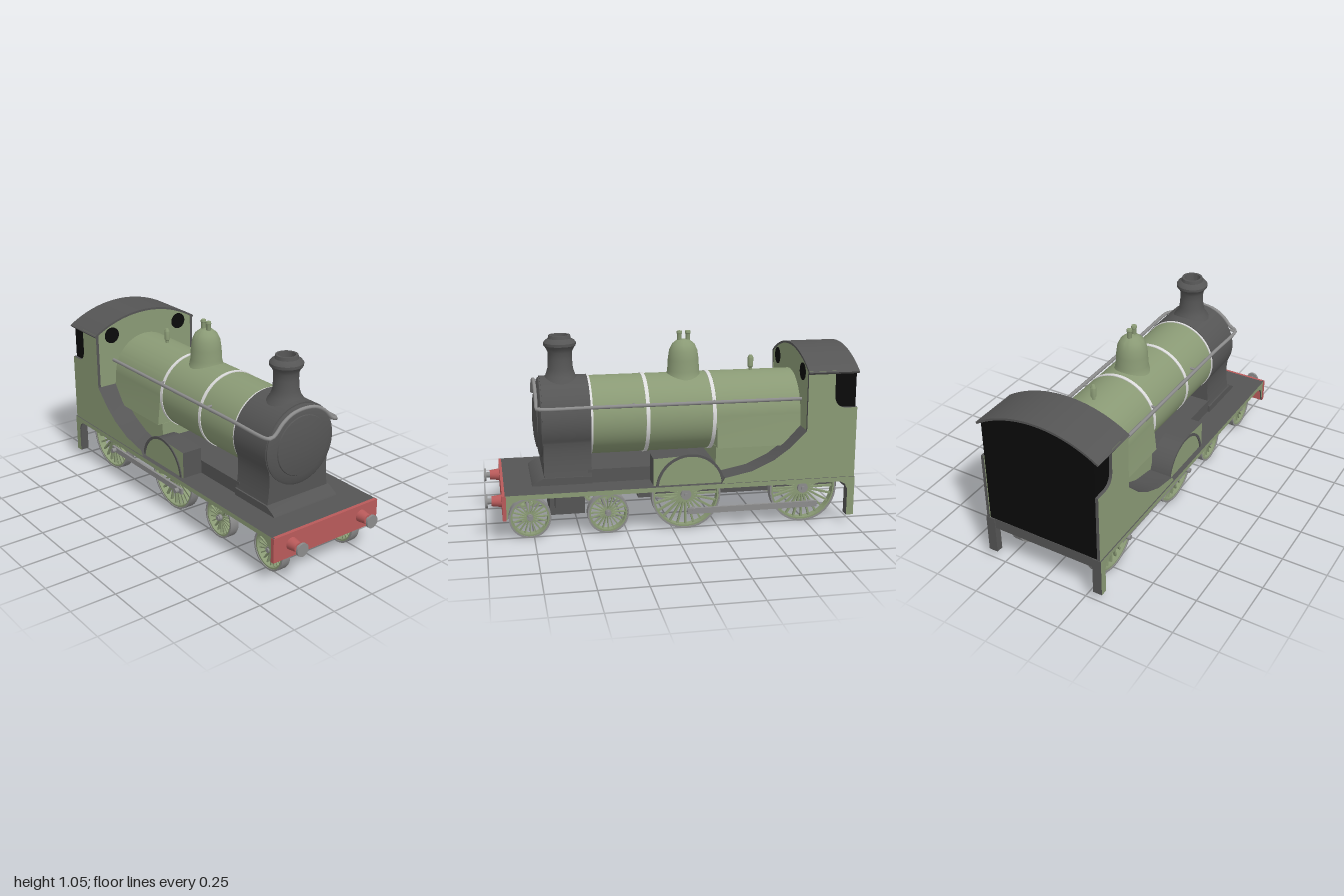
import * as THREE from 'three';
import { mergeGeometries, toCreasedNormals } from 'three/addons/utils/BufferGeometryUtils.js';

const mat = (name, color) => new THREE.MeshStandardMaterial({ name, color });

export function createModel() {
  const green = mat('paleGreen', 0x8a9a75), dark = mat('darkGrey', 0x555555), steel = mat('steelGrey', 0x8c8c8c);
  const red = mat('beamRed', 0xb85a5a), white = mat('bandWhite', 0xdcdcdc), black = mat('black', 0x0a0a0a);
  const model = new THREE.Group();
  model.name = 'steamLocomotive';

  const add = (name, geo, material, parent = model) => {
    const mesh = new THREE.Mesh(geo, material);
    mesh.name = name;
    parent.add(mesh);
  };
  // box given by its limits on each axis
  const box = (name, m, x0, x1, y0, y1, z0, z1) => add(name,
    new THREE.BoxGeometry(x1 - x0, y1 - y0, z1 - z0).translate((x0 + x1) / 2, (y0 + y1) / 2, (z0 + z1) / 2), m);
  // cylinder along z or x
  const rodZ = (r, z0, z1, x, y, seg = 24) =>
    new THREE.CylinderGeometry(r, r, z1 - z0, seg).rotateX(Math.PI / 2).translate(x, y, (z0 + z1) / 2);
  const rodX = (r, x0, x1, y, z, seg = 16) =>
    new THREE.CylinderGeometry(r, r, x1 - x0, seg).rotateZ(Math.PI / 2).translate((x0 + x1) / 2, y, z);
  const lathe = (pts, seg = 40) =>
    toCreasedNormals(new THREE.LatheGeometry(pts.map(p => new THREE.Vector2(...p)), seg), 0.6);
  const extrude = (shape, depth) => toCreasedNormals(
    new THREE.ExtrudeGeometry(shape, { depth, bevelEnabled: false, curveSegments: 32 }), 0.5);
  const poly = pts => new THREE.Shape(pts.map(p => new THREE.Vector2(...p)));
  // shape in (x, y) extruded along z; shape in (z, y) extruded along x
  const alongZ = (shape, z0, z1) => extrude(shape, z1 - z0).translate(0, 0, z0);
  const alongX = (shape, x0, x1) => extrude(shape, x1 - x0).rotateY(-Math.PI / 2).translate(x1, 0, 0);
  // same shape on both sides of the engine
  const sidePair = (name, shape, x0, x1, m) => {
    add(name + 'Left', alongX(shape, x0, x1), m);
    add(name + 'Right', alongX(shape, -x1, -x0), m);
  };
  const CY = 0.6;

  // Footplate, frames and valances
  box('footplate', dark, -0.34, 0.34, 0.245, 0.27, -0.995, 0.9);
  box('mainFrame', dark, -0.2, 0.2, 0.17, 0.25, -0.95, 0.18);
  box('upperFrame', dark, -0.2, 0.2, 0.265, 0.345, -0.72, 0.45);
  box('rearBeam', dark, -0.34, 0.34, 0.21, 0.27, -0.995, -0.95);
  const valance = poly([[-1, 0.27], [-1, 0.05], [-0.96, 0.05], [-0.96, 0.2], [-0.945, 0.23], [-0.92, 0.245],
    [0.82, 0.245], [0.86, 0.23], [0.88, 0.2], [0.89, 0.14], [0.91, 0.14], [0.91, 0.27]]);
  sidePair('valance', valance, 0.338, 0.348, [green, dark]);
  for (const s of [-1, 1]) box('rearStep', dark, s * 0.318 - 0.022, s * 0.318 + 0.022, 0.05, 0.27, -1, -0.96);

  // Front beam and its sprung bumpers
  box('frontBeam', red, -0.35, 0.35, 0.135, 0.27, 0.895, 0.915);
  for (const s of [-1, 1]) {
    const x = s * 0.235;
    add('bumperHousing', new THREE.CylinderGeometry(0.026, 0.034, 0.055, 24).rotateX(Math.PI / 2).translate(x, 0.21, 0.94), red);
    add('bumperRod', rodZ(0.015, 0.96, 0.99, x, 0.21), steel);
    add('bumperHead', rodZ(0.036, 0.988, 1, x, 0.21), steel);
  }

  // Smokebox with flared saddle, door and base
  const smokebox = new THREE.Shape();
  smokebox.moveTo(-0.21, 0.27);
  smokebox.lineTo(0.21, 0.27);
  smokebox.quadraticCurveTo(0.18, 0.42, 0.198, 0.5);
  smokebox.absarc(0, CY, 0.222, -0.467, Math.PI + 0.467, false);
  smokebox.quadraticCurveTo(-0.18, 0.42, -0.21, 0.27);
  add('smokebox', alongZ(smokebox, 0.43, 0.685), dark);
  add('smokeboxDoor', lathe([[0.218, 0], [0.218, 0.012], [0.205, 0.02], [0.165, 0.027], [0.162, 0.032], [0.11, 0.042],
    [0.05, 0.047], [0, 0.048]], 48).rotateX(Math.PI / 2).translate(0, CY - 0.003, 0.68), dark);
  add('saddleBase', alongX(poly([[0.43, 0.265], [0.755, 0.265], [0.745, 0.28], [0.69, 0.31], [0.43, 0.31]]), -0.212, 0.212), dark);
  add('chimney', lathe([[0.115, 0.775], [0.1, 0.805], [0.08, 0.83], [0.069, 0.865], [0.065, 0.92], [0.066, 0.955], [0.075, 0.975],
    [0.087, 0.99], [0.088, 1.005], [0.078, 1.018], [0.062, 1.027], [0.058, 1.045], [0.046, 1.045], [0.042, 1], [0, 1]])
    .translate(0, 0, 0.57), dark);

  // Boiler, bands and firebox
  add('boiler', rodZ(0.215, -0.72, 0.44, 0, CY, 56), green);
  for (const z of [0.428, 0.123, -0.24]) add('boilerBand', rodZ(0.219, z - 0.01, z + 0.01, 0, CY, 56), white);
  const firebox = new THREE.Shape();
  firebox.moveTo(-0.234, 0.435);
  firebox.lineTo(0.234, 0.435);
  firebox.lineTo(0.216, CY);
  firebox.absarc(0, CY, 0.216, 0, Math.PI, false);
  firebox.lineTo(-0.234, 0.435);
  add('firebox', alongZ(firebox, -0.72, -0.252), green);
  box('fireboxBase', green, -0.205, 0.205, 0.27, 0.436, -0.72, -0.25);

  // Steam dome with safety valves, and whistle
  add('steamDome', lathe([[0.105, 0.78], [0.095, 0.8], [0.088, 0.83], [0.085, 0.89], [0.078, 0.94], [0.062, 0.975],
    [0.035, 0.997], [0, 1.003]]).translate(0, 0, -0.107), green);
  for (const z of [-0.132, -0.085]) {
    add('safetyValve', lathe([[0.013, 0.97], [0.013, 1.03], [0.016, 1.035], [0.014, 1.047], [0, 1.05]], 16).translate(0, 0, z), green);
  }
  add('whistle', lathe([[0.01, 0.8], [0.01, 0.83], [0.016, 0.835], [0.016, 0.885], [0.008, 0.9], [0, 0.9]], 16).translate(0, 0, -0.49), green);

  // Handrail running along both sides and over the smokebox door
  const half = [[0.228, 0.692, -0.72], [0.228, 0.692, -0.2], [0.228, 0.692, 0.4], [0.228, 0.692, 0.7], [0.215, 0.693, 0.716],
    [0.185, 0.708, 0.716], [0.14, 0.755, 0.716], [0.08, 0.79, 0.716]];
  const rail = [...half, [0, 0.802, 0.716], ...half.map(([x, y, z]) => [-x, y, z]).reverse()];
  const railPath = new THREE.CatmullRomCurve3(rail.map(p => new THREE.Vector3(...p)), false, 'centripetal');
  add('handrail', new THREE.TubeGeometry(railPath, 160, 0.01, 8), steel);
  for (const s of [-1, 1]) for (const z of [0.7, 0.2, -0.24]) {
    add('railStanchion', rodX(0.007, s * 0.21 - 0.018, s * 0.21 + 0.018, 0.692, z, 8), steel);
  }

  // Front splashers with curved trim
  const splasher = new THREE.Shape();
  splasher.moveTo(-0.27, 0.265);
  splasher.lineTo(0.115, 0.265);
  splasher.lineTo(0.115, 0.42);
  splasher.lineTo(-0.08, 0.43);
  splasher.absarc(-0.085, 0.245, 0.185, Math.PI / 2, Math.PI * 0.965, false);
  sidePair('frontSplasher', splasher, 0.2, 0.32, [green, dark]);
  const trim = new THREE.Shape();
  trim.absarc(-0.085, 0.25, 0.188, 0.1, Math.PI - 0.1, false);
  trim.absarc(-0.085, 0.25, 0.174, Math.PI - 0.1, 0.1, true);
  sidePair('splasherTrim', trim, 0.315, 0.326, dark);

  // Rear splashers sweeping up into the cab sides
  const sweep = [[-0.25, 0.265], [-0.27, 0.3], [-0.42, 0.33], [-0.54, 0.385], [-0.63, 0.45], [-0.72, 0.54]];
  sidePair('rearSplasher', poly([...sweep, [-0.73, 0.265]]), 0.2, 0.325, [green, dark]);
  const side = poly([...sweep, [-0.72, 0.865], [-0.87, 0.865]]);
  side.lineTo(-0.87, 0.73);
  side.quadraticCurveTo(-0.875, 0.66, -0.94, 0.66);
  side.lineTo(-0.998, 0.66);
  side.lineTo(-0.998, 0.265);
  sidePair('cabSide', side, 0.325, 0.342, [green, dark]);

  // Cab front, dark interior, windows and arched roof
  const R = 0.63, roofY = 0.955 - R;
  const arch = (w, r, y0) => {
    const a = Math.acos(w / r), s = new THREE.Shape();
    s.moveTo(-w, y0);
    s.lineTo(w, y0);
    s.absarc(0, roofY, r, a, Math.PI - a, false);
    return s;
  };
  add('cabFront', alongZ(arch(0.34, R, 0.27), -0.74, -0.721), green);
  add('cabInterior', alongZ(arch(0.324, R - 0.003, 0.27), -0.993, -0.74), black);
  for (const s of [-1, 1]) add('cabWindow', rodZ(0.047, -0.722, -0.717, s * 0.235, 0.845, 32), black);
  const roof = new THREE.Shape(), a = Math.acos(0.347 / R);
  roof.absarc(0, roofY, R + 0.008, a, Math.PI - a, false);
  roof.absarc(0, roofY, R - 0.004, Math.PI - a, a, true);
  add('cabRoof', alongZ(roof, -1, -0.72), dark);

  // Spoked wheels
  const ring = (ro, ri, w) => lathe([[ro, -w], [ro, w], [ri, w], [ri, -w], [ro, -w]], 48).rotateZ(Math.PI / 2);
  const wheel = (name, x, z, r, count) => {
    const g = new THREE.Group();
    g.name = name;
    g.position.set(x, r, z);
    model.add(g);
    add('tyre', ring(r, r - 0.009, 0.026), steel, g);
    add('rim', ring(r - 0.008, r - 0.018, 0.022), green, g);
    const spokes = [];
    for (let i = 0; i < count; i++) {
      spokes.push(new THREE.BoxGeometry(0.016, r - 0.025, r * 0.055)
        .translate(0, (r - 0.01) / 2, 0).rotateX(i / count * Math.PI * 2));
    }
    add('spokes', mergeGeometries(spokes), green, g);
    add('hub', rodX(r * 0.15, -0.024, 0.024, 0, 0, 20), steel, g);
  };
  const axles = [['bogieWheel', 0.77, 0.112, 20], ['bogieWheel', 0.352, 0.112, 20],
    ['drivingWheel', -0.075, 0.19, 24], ['drivingWheel', -0.735, 0.19, 24]];
  for (const [name, z, r, n] of axles) {
    for (const s of [-1, 1]) wheel(name, s * 0.237, z, r, n);
    add('axle', rodX(0.012, -0.27, 0.27, r, z), steel);
  }

  // Bogie block under the smokebox
  add('bogieFrame', alongX(poly([[0.465, 0.077], [0.655, 0.077], [0.655, 0.2], [0.7, 0.25], [0.42, 0.25], [0.465, 0.2]]), -0.135, 0.135), dark);
  box('bogieBolster', dark, -0.2, 0.2, 0.13, 0.25, 0.49, 0.63);

  // Coupling rods with crank pins, set a quarter turn apart
  for (const [s, dy, dz] of [[1, -0.087, -0.04], [-1, -0.043, 0.085]]) {
    const y = 0.19 + dy, x = s * 0.279;
    box('couplingRod', steel, x - 0.007, x + 0.007, y - 0.016, y + 0.016, -0.77 + dz, -0.04 + dz);
    for (const z of [-0.075, -0.735]) add('crankPin', rodX(0.014, x - 0.03, x + 0.011, y, z + dz), steel);
  }
  return model;
}
